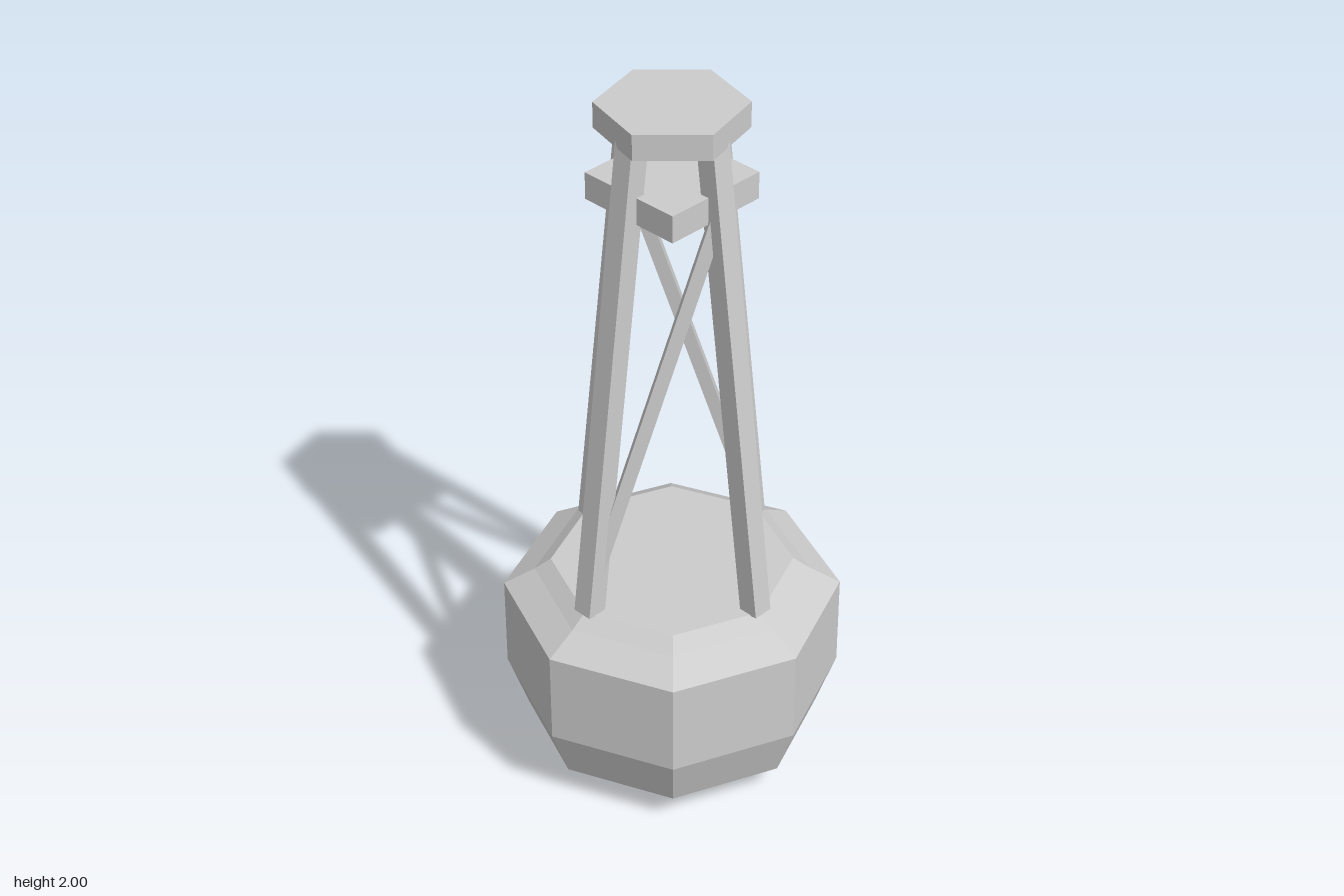
import * as THREE from 'three';

export function createModel() {
  const model = new THREE.Group();
  model.name = 'buoy';
  const paint = new THREE.MeshStandardMaterial({ color: 0xcccccc, flatShading: true });
  paint.name = 'light grey paint';

  function add(name, geometry, parent = model) {
    const mesh = new THREE.Mesh(geometry, paint);
    mesh.name = name;
    parent.add(mesh);
    return mesh;
  }

  // Square bar between two points, its faces turned by "twist" about its length
  function bar(name, from, to, width, twist = 0) {
    const dir = to.clone().sub(from);
    const geometry = new THREE.BoxGeometry(width, dir.length(), width);
    geometry.rotateY(twist);
    const mesh = add(name, geometry);
    mesh.position.copy(from).add(to).multiplyScalar(0.5);
    mesh.quaternion.setFromUnitVectors(new THREE.Vector3(0, 1, 0), dir.normalize());
    return mesh;
  }

  // Eight-sided float with a bevelled bottom and shoulder
  const profile = [
    [0, 0], [0.25, 0], [0.405, 0.095], [0.46, 0.25], [0.46, 0.52],
    [0.375, 0.57], [0.33, 0.604], [0, 0.604],
  ].map(([r, y]) => new THREE.Vector2(r, y));
  add('float', new THREE.LatheGeometry(profile, 8));

  // Four tower legs leaning in to the top
  for (const x of [-1, 1]) {
    for (const z of [-1, 1]) {
      bar('leg', new THREE.Vector3(0.22 * x, 0.6, 0.22 * z),
        new THREE.Vector3(0.097 * x, 1.945, 0.097 * z), 0.057, Math.PI / 4);
    }
  }

  // One diagonal brace on the front and one on the back
  for (const s of [-1, 1]) {
    bar('brace', new THREE.Vector3(-0.205 * s, 0.7, 0.205 * s),
      new THREE.Vector3(0.11 * s, 1.74, 0.115 * s), 0.035);
  }

  // Square platform, corners on the axes
  add('platform', new THREE.CylinderGeometry(0.215, 0.215, 0.075, 4)).position.y = 1.768;

  // Six-sided cap
  const cap = add('cap', new THREE.CylinderGeometry(0.193, 0.193, 0.07, 6));
  cap.rotation.y = Math.PI / 6;
  cap.position.y = 1.965;

  return model;
}
